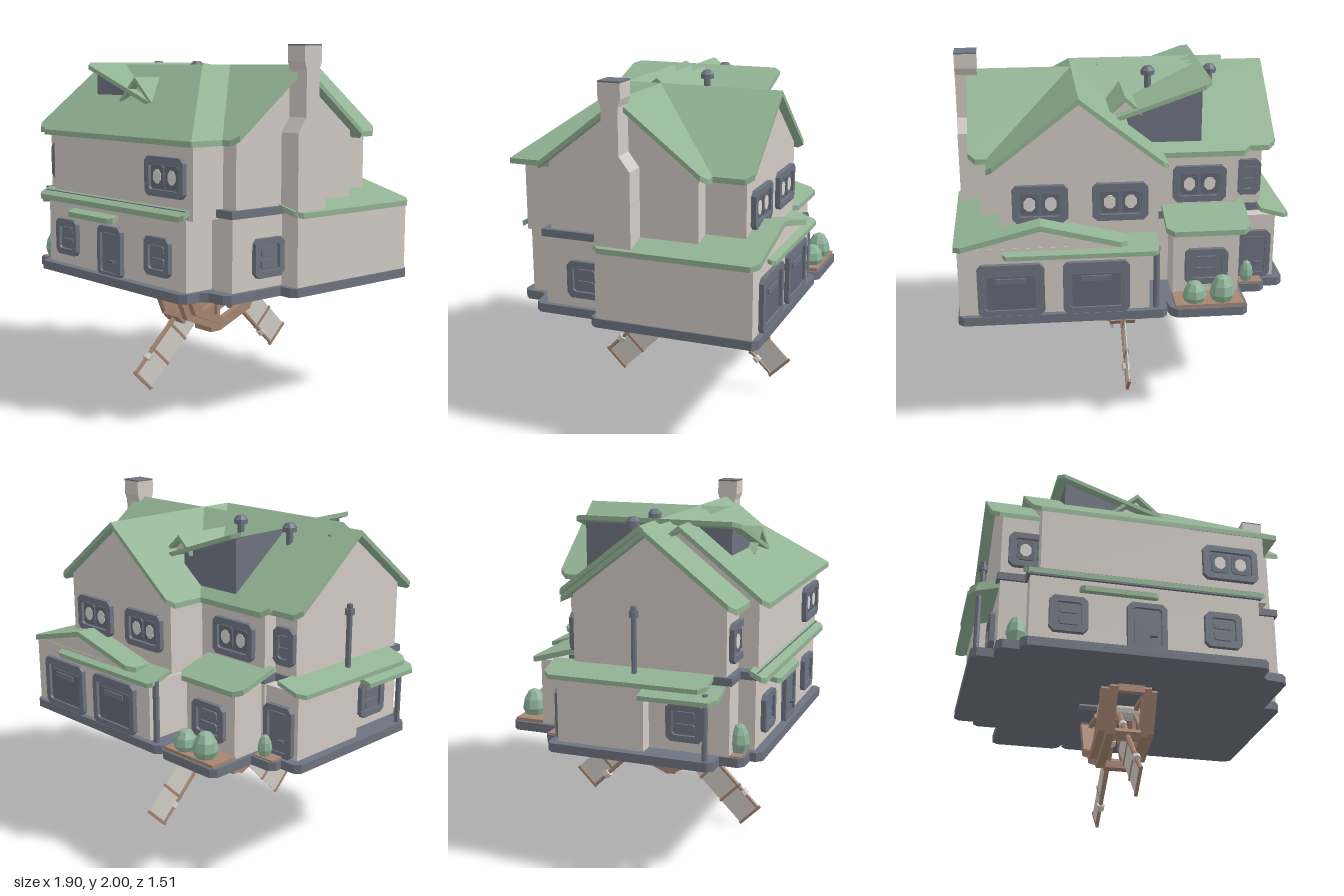
import * as THREE from 'three';

const mat = (name, color, side = THREE.FrontSide) => {
  const m = new THREE.MeshStandardMaterial({ color, side });
  m.name = name;
  return m;
};
const M = {
  wall: mat('plaster', 0xd2cac4), roof: mat('green roof', 0x92b394, THREE.DoubleSide),
  slate: mat('slate', 0x6d7380), dark: mat('dark slate', 0x616875),
  wood: mat('wood', 0xa88672), cloth: mat('sail cloth', 0xd1ccc5, THREE.DoubleSide),
  bush: mat('foliage', 0x8db398), pane: mat('pale pane', 0xd8d4d0),
};
const PITCH = 0.775, RIDGE = 1.895, HALF = 0.49, WALL_HALF = 0.43, SKIN = 0.03;

function add(parent, name, geo, material, x = 0, y = 0, z = 0) {
  const m = new THREE.Mesh(geo, material);
  m.name = name;
  m.position.set(x, y, z);
  parent.add(m);
  return m;
}
const flat = (g) => { const n = g.index ? g.toNonIndexed() : g; n.computeVertexNormals(); return n; };
const box = (p, name, m, [x0, x1], [y0, y1], [z0, z1]) =>
  add(p, name, new THREE.BoxGeometry(x1 - x0, y1 - y0, z1 - z0), m, (x0 + x1) / 2, (y0 + y1) / 2, (z0 + z1) / 2);
const extrude = (shape, depth) => new THREE.ExtrudeGeometry(shape, { depth, bevelEnabled: false });
const poly = (pts) => new THREE.Shape(pts.map(([x, y]) => new THREE.Vector2(x, y)));

// Cuts the corners of a polygon; a corner's last number is its cut
function chamfer(pts, dim) {
  const out = [];
  pts.forEach((p, i) => {
    const r = p[dim] || 0, at = p.slice(0, dim);
    if (!r) { out.push(at); return; }
    for (const q of [pts.at(i - 1), pts[(i + 1) % pts.length]]) {
      const len = Math.hypot(...at.map((v, k) => q[k] - v));
      out.push(at.map((v, k) => v + (q[k] - v) * r / len));
    }
  });
  return out;
}
// Flat convex roof board through points [x, y, z, cornerCut], thickened downwards
function panel(parent, name, corners, t = SKIN, material = M.roof) {
  let p = chamfer(corners, 3).map((c) => new THREE.Vector3(...c));
  const n = new THREE.Vector3();
  for (let i = 1; i < p.length - 1; i++)
    n.add(p[i].clone().sub(p[0]).cross(p[i + 1].clone().sub(p[0])));
  if (n.y < 0) p = p.reverse();
  const low = p.map((v) => v.clone().setY(v.y - t)), tri = [];
  for (let i = 1; i < p.length - 1; i++) tri.push(p[0], p[i], p[i + 1], low[0], low[i + 1], low[i]);
  p.forEach((a, i) => {
    const j = (i + 1) % p.length;
    tri.push(a, low[i], low[j], a, low[j], p[j]);
  });
  const g = new THREE.BufferGeometry().setFromPoints(tri);
  g.computeVertexNormals();
  return add(parent, name, g, material);
}
// Pair of slopes with the ridge along x
function gableRoof(parent, name, x0, x1, zc, c0 = 0, c1 = 0) {
  const low = RIDGE - PITCH * HALF;
  for (const s of [-1, 1])
    panel(parent, name, [[x0, RIDGE, zc], [x1, RIDGE, zc], [x1, low, zc + s * HALF, c1], [x0, low, zc + s * HALF, c0]]);
}
// Five-sided house wing; along x, or along z when turned
function wing(parent, name, a0, a1, centre, alongZ = false) {
  const h = WALL_HALF, top = RIDGE - SKIN - 0.005, e = top - PITCH * h;
  const g = extrude(poly([[-h, 1.1], [h, 1.1], [h, e], [0, top], [-h, e]]), a1 - a0);
  if (!alongZ) g.rotateY(Math.PI / 2);
  return add(parent, name, g, M.wall, alongZ ? centre : a0, 0, alongZ ? a0 : centre);
}
const cutRect = (w, h, c) => poly(chamfer([[-w / 2, -h / 2, c], [w / 2, -h / 2, c], [w / 2, h / 2, c], [-w / 2, h / 2, c]], 2));

// Window or door on a wall; turn is 0 front, 1 right, 2 back, 3 left
function opening(parent, name, turn, x, y, z, w, h, kind) {
  const g = new THREE.Group();
  g.name = name;
  g.position.set(x, y, z);
  g.rotation.y = turn * Math.PI / 2;
  parent.add(g);
  const ring = cutRect(w, h, 0.025), b = kind === 'door' ? 0.03 : 0.035;
  ring.holes.push(cutRect(w - 2 * b, h - 2 * b, 0.012));
  add(g, 'frame', extrude(ring, 0.028), M.slate);
  add(g, 'backing', extrude(cutRect(w - b, h - b, 0.01), 0.01), M.slate);
  if (kind === 'double') for (const s of [-1, 1]) {
    add(g, 'sash', extrude(cutRect(w * 0.32, h - 0.09, 0.012), 0.008), M.dark, s * w * 0.19, 0, 0.01);
    add(g, 'pale pane', extrude(cutRect(0.062, 0.076, 0.02), 0.003), M.pane, s * w * 0.19, 0, 0.018);
  } else if (kind === 'bars') for (const s of [-1, 1])
    add(g, 'sash', extrude(cutRect(w * 0.52, h * 0.24, 0.01), 0.01), M.slate, 0, s * h * 0.16, 0.01);
  else if (kind === 'door') {
    add(g, 'leaf', extrude(cutRect(w - 0.075, h - 0.07, 0.005), 0.012), M.slate, 0, -0.005, 0.006);
    add(g, 'handle', new THREE.BoxGeometry(0.04, 0.012, 0.03), M.dark, w * 0.15, -0.05, 0.025);
  } else {
    add(g, 'garage leaf', extrude(cutRect(w - 0.1, h - 0.1, 0.005), 0.008), M.dark, 0, -0.02, 0.008);
    add(g, 'garage slot', new THREE.BoxGeometry(w * 0.45, 0.03, 0.012), M.slate, 0, h * 0.18, 0.018);
  }
}
const bush = (p, x, z, r, h) => add(p, 'bush', flat(new THREE.LatheGeometry(
  [[0, 0], [0.7, 0.04], [1, 0.35], [0.85, 0.65], [0.5, 0.9], [0, 1]].map(([a, b]) => new THREE.Vector2(a * r, b * h)), 8)), M.bush, x, 0.72, z);
const tube = (p, name, m, r0, r1, h, x, y, z) =>
  add(p, name, flat(new THREE.CylinderGeometry(r1, r0, h, 8)), m, x, y + h / 2, z);

function buildWalls(house) {
  // Base slab
  const c = 0.03;
  const outline = [[-.68, .745, c], [.68, .745, c], [.68, .6, c], [.84, .58, c], [.84, .2], [.94, .2, c], [.94, -.745, c],
    [-.2, -.745, c], [-.2, -.64], [-.225, -.755, c], [-.645, -.755, c], [-.645, -.47], [-.8, -.47, c], [-.8, -.4], [-.92, -.4, c],
    [-.92, .55, c], [-.8, .55], [-.8, .68, c], [-.68, .68]];
  const slab = extrude(poly(chamfer(outline, 2).map(([x, z]) => [x, -z])), 0.05).rotateX(-Math.PI / 2);
  add(house, 'baseSlab', slab, M.slate, 0, 0.672, 0);
  // Ground floor
  const lower = [[[-.64, .65], [-.2, .695]], [[0, .81], [-.3, .52]], [[-.79, 0], [-.28, .6]], [[-.64, .2], [-.365, .4]]];
  for (const [x, z] of lower) {
    box(house, 'groundWall', M.wall, x, [.72, 1.12], z);
    box(house, 'floorBand', M.slate, [x[0] - .015, x[1] + .015], [1.11, 1.152], [z[0] - .015, z[1] + .015]);
  }
  box(house, 'sideWall', M.wall, [.3, .93], [.72, 1.105], [-.715, .165]);
  box(house, 'garageWall', M.wall, [-.1, .92], [.72, 1.065], [-.714, 0]);
  add(house, 'garageGable', extrude(poly([[.05, 1], [.92, 1], [.92, 1.1], [.485, 1.212], [.05, 1.1]]), .3), M.wall, 0, 0, -.713);
  box(house, 'bayWall', M.wall, [-.62, -.25], [.72, 1.1], [-.57, -.2]);
  box(house, 'leftWall', M.wall, [-.87, -.5], [.72, 1.1], [-.35, .15]);
  // Upper wings
  wing(house, 'backWing', -.6, .2, .27, true);
  wing(house, 'frontWing', -.585, .27, .26);
  box(house, 'frontCorner', M.wall, [.2, .7], [1.1, 1.522], [0, .69]);
  wing(house, 'rightWing', .27, .8, .056);
  wing(house, 'leftWing', -.79, 0, .15);
  wing(house, 'middleWing', -.64, .27, .065);
  // Chimney
  const prof = [[.165, .9], [.165, 1.54], [.11, 1.62], [.11, 1.87], [.125, 1.91], [.125, 1.992],
    [0, 1.992], [0, 1.91], [.015, 1.87], [.015, 1.62], [-.045, 1.54], [-.045, .9]].map(([z, y]) => [-z, y]);
  add(house, 'chimney', extrude(poly(prof), .125).rotateY(Math.PI / 2), M.wall, .802, 0, 0);
  box(house, 'chimneyTop', M.slate, [.802, .927], [1.992, 2], [0, .125]);
}

function buildRoofs(house) {
  const e = RIDGE - PITCH * HALF, c = 0.04;
  // Back gable running into the hipped front
  panel(house, 'backRoof', [[.27, RIDGE, -.65], [.27, RIDGE, .26], [-.21, e, .26], [-.21, e, -.65, c]]);
  panel(house, 'hipRoof', [[.27, RIDGE, -.65], [.27, RIDGE, .26], [.76, e, .75], [.76, e, -.65, c]]);
  panel(house, 'frontRoof', [[-.64, RIDGE, .26], [.27, RIDGE, .26], [.76, e, .75], [-.64, e, .75, c]]);
  panel(house, 'frontRoof', [[-.64, RIDGE, .26], [.27, RIDGE, .26], [.27, e, -.23], [-.64, e, -.23]]);
  gableRoof(house, 'rightRoof', .27, .86, .056, 0, c);
  gableRoof(house, 'leftRoof', -.855, .11, .15, c);
  gableRoof(house, 'middleRoof', -.7, .27, .065, c);
  // Tilted dormer and the small gables crossing it
  panel(house, 'dormerRoof', [[-.475, 1.905, -.42, c], [-.475, 1.905, .54, c], [.16, 1.685, .54, c], [.16, 1.685, -.42]], .025);
  add(house, 'dormerBox', extrude(poly([[-.425, 1.55], [-.02, 1.55], [-.02, 1.725], [-.425, 1.865]]), .852), M.slate, 0, 0, -.366);
  for (const [z0, z1, w, zw] of [[.2, .53, .145, .47], [-.39, 0, .09, -.35]]) {
    for (const s of [-1, 1])
      panel(house, 'smallGableRoof', [[0, 1.825, z0], [0, 1.825, z1], [s * w, 1.825 - w * .9, z1], [s * w, 1.825 - w * .9, z0]], .025);
    add(house, 'smallGableWall', extrude(poly([[-.09, 1.71], [.09, 1.71], [0, 1.795]]), .02), M.wall, 0, 0, zw);
  }
  // Lower roofs and awnings
  panel(house, 'garageRoof', [[.485, 1.24, -.745], [.485, 1.24, .18], [.95, 1.122, .18, c], [.95, 1.122, -.745, c]]);
  panel(house, 'garageRoof', [[.485, 1.24, -.745], [.485, 1.24, -.4], [.02, 1.122, -.4], [.02, 1.122, -.745, c]]);
  panel(house, 'garageAwning', [[-.15, 1.075, -.755, .02], [.69, 1.075, -.755, .02], [.69, 1.13, -.58], [-.15, 1.13, -.58]], .025);
  panel(house, 'bayRoof', [[-.68, 1.12, -.61, c], [-.21, 1.12, -.61, c], [-.21, 1.2, -.33], [-.68, 1.2, -.33]]);
  panel(house, 'sideRoof', [[-.94, 1.115, -.405, c], [-.94, 1.115, .515, c], [-.77, 1.165, .515], [-.77, 1.165, -.405]], .025);
  panel(house, 'porchRoof', [[-.955, 1.055, .15], [-.955, 1.055, .575, c], [-.78, 1.105, .575], [-.78, 1.105, .15]], .025);
  panel(house, 'frontSkirt', [[-.675, 1.128, .75, .02], [.675, 1.128, .75, .02], [.675, 1.168, .67], [-.675, 1.168, .67]], .03);
  panel(house, 'doorAwning', [[-.37, 1.05, .755, .02], [.06, 1.05, .755, .02], [.06, 1.065, .69], [-.37, 1.065, .69]]);
}

function buildDetails(house) {
  opening(house, 'upperWindow', 0, .49, 1.315, .69, .32, .21, 'double');
  opening(house, 'upperWindow', 0, -.6, 1.315, .58, .3, .21, 'double');
  for (const x of [-.43, .43]) opening(house, 'groundWindow', 0, x, .888, .695, .21, .21, 'bars');
  opening(house, 'frontDoor', 0, 0, .855, .695, .22, .29, 'door');
  opening(house, 'sideWindow', 1, .81, .888, .275, .21, .21, 'bars');
  opening(house, 'sideWindow', 3, -.79, .888, .36, .21, .21, 'bars');
  for (const x of [.48, .05]) opening(house, 'backWindow', 2, x, 1.315, -.6, .3, .21, 'double');
  opening(house, 'backWindow', 2, -.42, 1.315, -.365, .3, .21, 'double');
  opening(house, 'backWindow', 2, -.715, 1.315, -.28, .14, .21, 'bars');
  for (const x of [.65, .19]) opening(house, 'garageDoor', 2, x, .87, -.714, .36, .3, 'garage');
  opening(house, 'bayWindow', 2, -.435, .9, -.57, .24, .21, 'bars');
  opening(house, 'backDoor', 2, -.745, .865, -.35, .2, .29, 'door');
  // Planters
  box(house, 'planterSoil', M.wood, [-.625, -.245], [.715, .74], [-.74, -.57]);
  box(house, 'planterSoil', M.wood, [-.785, -.65], [.715, .73], [-.455, -.36]);
  box(house, 'planterSoil', M.wood, [-.785, -.66], [.715, .727], [.58, .665]);
  bush(house, -.51, -.68, .072, .17);
  bush(house, -.355, -.68, .068, .14);
  bush(house, -.7, -.42, .04, .13);
  bush(house, -.695, .63, .056, .165);
  // Posts, drain pipe and roof vents
  tube(house, 'porchPost', M.slate, .016, .016, .36, -.89, .72, .5);
  tube(house, 'garagePost', M.slate, .018, .018, .36, -.14, .72, -.7);
  tube(house, 'drainPipe', M.slate, .016, .016, .36, -.84, 1.14, .09);
  tube(house, 'drainPipeCollar', M.slate, .027, .027, .035, -.84, 1.44, .09);
  for (const [x, z] of [[-.515, -.045], [-.16, -.06]]) {
    tube(house, 'ventStem', M.slate, .02, .02, .2, x, 1.68, z);
    tube(house, 'ventCap', M.slate, .04, .04, .025, x, 1.868, z);
    tube(house, 'ventDome', M.slate, .04, .022, .022, x, 1.893, z);
  }
}

function buildWheel(root) {
  const wheel = new THREE.Group();
  wheel.name = 'wheel';
  wheel.position.y = 0.66;
  root.add(wheel);
  const octagon = (r) => Array.from({ length: 8 }, (_, i) => [r * Math.cos(i * Math.PI / 4), r * Math.sin(i * Math.PI / 4)]);
  const rim = (r0, r1, x, w) => {
    const s = poly(octagon(r1));
    s.holes.push(poly(octagon(r0)));
    add(wheel, 'rim', extrude(s, w).rotateY(Math.PI / 2), M.wood, x - w / 2, 0, 0);
  };
  for (const s of [-1, 1]) {
    rim(.29, .352, s * .097, .045);
    rim(.26, .31, s * .14, .042);
  }
  for (let i = 0; i < 8; i++) {
    const spoke = new THREE.Group();
    spoke.name = 'spoke';
    spoke.rotation.x = i * Math.PI / 4;
    wheel.add(spoke);
    box(spoke, 'paddle', M.wood, [-.075, .075], [-.03, .03], [.325, .365]);
    for (const x of [-.1, .1]) box(spoke, 'spokeBar', M.wood, [x - .012, x + .012], [-.012, .012], [0, .31]);
  }
  add(wheel, 'axle', flat(new THREE.CylinderGeometry(.03, .03, .46, 8)).rotateZ(Math.PI / 2), M.slate);
  add(wheel, 'hub', flat(new THREE.CylinderGeometry(.055, .055, .25, 12)).rotateZ(Math.PI / 2), M.cloth);
  // Sails
  for (let i = 0; i < 4; i++) {
    const sail = new THREE.Group();
    sail.name = 'sail';
    sail.rotation.x = Math.PI / 4 + i * Math.PI / 2;
    wheel.add(sail);
    add(sail, 'arm', flat(new THREE.CylinderGeometry(.011, .02, .77, 6)).rotateX(Math.PI / 2), M.wood, 0, 0, .385);
    box(sail, 'cloth', M.cloth, [-.003, .003], [-.155, 0], [.2, .76]);
    for (const r of [.22, .4, .585, .765]) box(sail, 'crossbar', M.wood, [-.008, .008], [-.16, .015], [r - .008, r + .008]);
    for (const r of [.21, .64])
      add(sail, 'knot', flat(new THREE.CylinderGeometry(.025, .025, .035, 8)).rotateX(Math.PI / 2), M.cloth, 0, 0, r);
  }
}

export function createModel() {
  const root = new THREE.Group();
  root.name = 'millHouse';
  const house = new THREE.Group();
  house.name = 'house';
  root.add(house);
  buildWalls(house);
  buildRoofs(house);
  buildDetails(house);
  buildWheel(root);
  return root;
}
